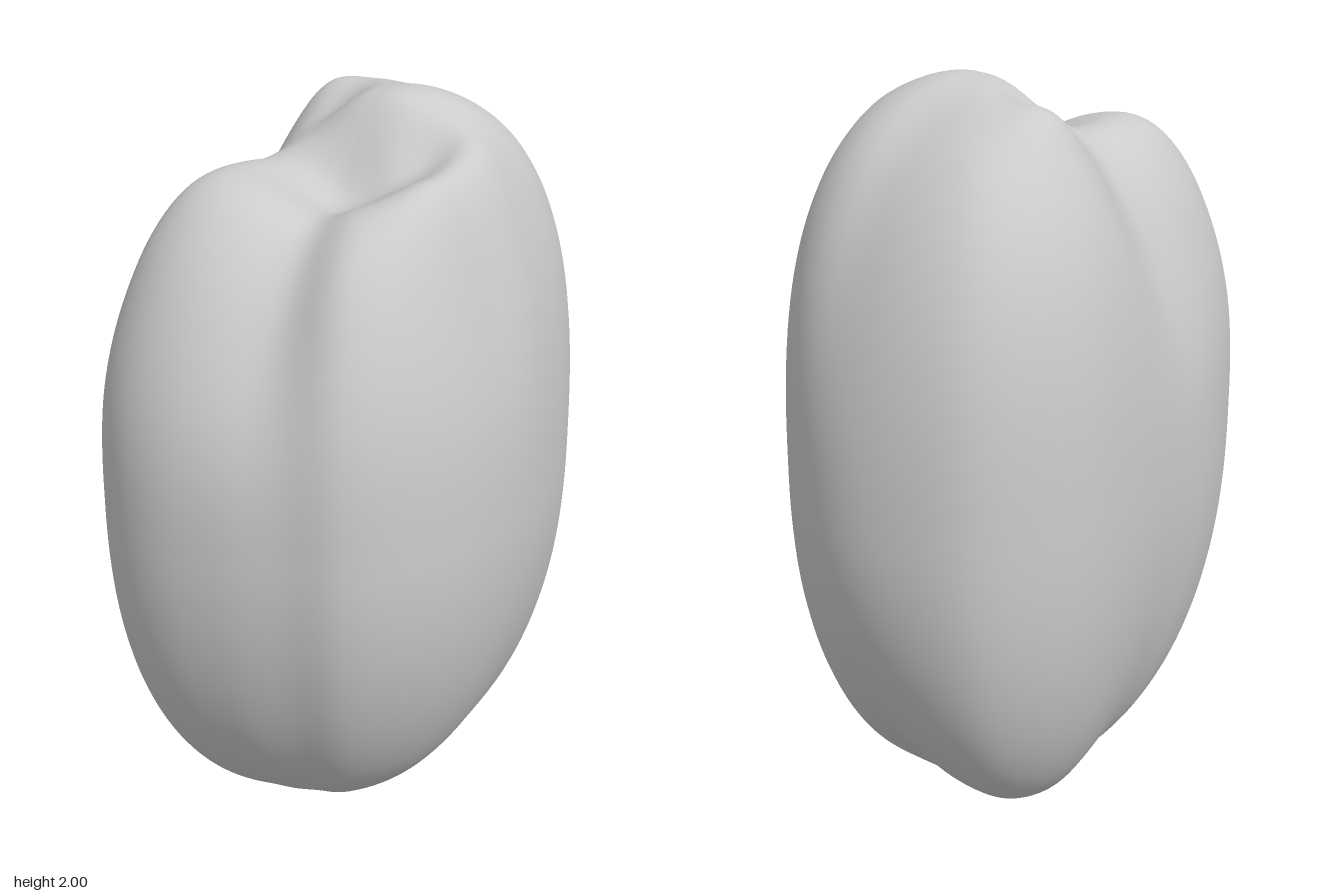
import * as THREE from 'three';
import { mergeVertices } from 'three/addons/utils/BufferGeometryUtils.js';

const smooth = THREE.MathUtils.smoothstep;
const bell = (d) => Math.exp(-d * d);

// Widest outline (x, z), from the right side round the front to the back
const OUTLINE = [
  [-0.52, 0], [-0.525, 0.2], [-0.48, 0.43], [-0.4, 0.58], [-0.27, 0.68], [-0.13, 0.715],
  [0.05, 0.69], [0.2, 0.635], [0.33, 0.585], [0.43, 0.47], [0.5, 0.3], [0.52, 0.1],
  [0.49, -0.15], [0.4, -0.42], [0.25, -0.6], [0.08, -0.7], [-0.1, -0.72], [-0.28, -0.68],
  [-0.4, -0.57], [-0.48, -0.42], [-0.51, -0.25],
];

// Dents (negative) and bumps on the crown: x, z, spread x, spread z, height
const CROWN = [
  [0.07, 0.15, 0.14, 0.13, -0.1],
  [0.09, 0.4, 0.11, 0.25, -0.04],
  [-0.09, 0.16, 0.13, 0.16, -0.05],
  [-0.3, 0.35, 0.15, 0.15, 0.025],
  [0.2, 0, 0.09, 0.09, -0.05],
  [-0.33, -0.05, 0.2, 0.12, -0.08],
  [-0.15, -0.1, 0.08, 0.1, -0.04],
  [-0.26, -0.25, 0.08, 0.13, 0.03],
  [0.05, -0.15, 0.12, 0.14, 0.01],
  [0.33, 0.1, 0.1, 0.22, 0.09],
];

// Lengthwise grooves: outline x, z, spread, depth above, depth below
const GROOVES = [
  [0.14, 0.66, 0.13, 0.06, 0],
  [-0.52, 0, 0.16, 0.05, 0],
  [0.1, -0.7, 0.14, 0.04, 0.03],
];

function bodyGeometry() {
  const outline = new THREE.CatmullRomCurve3(
    OUTLINE.map(([x, z]) => new THREE.Vector3(x, 0, z)), true);
  const geo = new THREE.SphereGeometry(1, 128, 96);
  const pos = geo.attributes.position, uv = geo.attributes.uv;
  const p = new THREE.Vector3();

  for (let i = 0; i < pos.count; i++) {
    const cosV = pos.getY(i);
    const rho = Math.sqrt(Math.max(0, 1 - cosV * cosV));
    const top = cosV > 0;
    outline.getPoint(((uv.getX(i) % 1) + 1) % 1, p);

    // The flanks narrow into the grooves away from the waist and the tips
    const fade = smooth(Math.abs(cosV), 0, 0.7) * smooth(rho, 0.1, 0.5);
    let scale = rho;
    for (const [gx, gz, s, up, down] of GROOVES) {
      scale *= 1 - (top ? up : down) * fade * bell(Math.hypot(p.x - gx, p.z - gz) / s);
    }
    let x = p.x * scale;
    const z = p.z * scale;

    // Lobes: the section is squarer towards the corners, except low at the front left
    const ex = p.x / 0.52, ez = p.z / 0.72;
    const corner = Math.abs(2 * ex * ez) / (ex * ex + ez * ez);
    const lowFullness = p.x > 0 && p.z > 0 ? -0.05 : 0.26;
    const power = (top ? 2.4 : 2) + (top ? 0.35 : lowFullness) * corner * corner;
    const h = Math.pow(Math.max(0, 1 - Math.pow(rho, power)), 1 / power);
    let y;

    if (top) {
      // Full shoulders, lower in front, with a dented crown
      let lift = -0.1 * smooth(z, -0.08, 0.12);
      for (const [cx, cz, sx, sz, amount] of CROWN) {
        lift += amount * bell(Math.hypot((x - cx) / sx, (z - cz) / sz));
      }
      y = 1 + h + lift * smooth(h, 0, 0.7);
    } else {
      // Rounded base with its tip off centre and a small notch at the back
      x -= 0.08 * (1 - rho);
      y = 1 - h + 0.04 * bell(Math.hypot((x - 0.05) / 0.08, (z + 0.4) / 0.12));
    }
    pos.setXYZ(i, x, y, z);
  }

  // Join the seam so the shading runs smoothly all round
  geo.deleteAttribute('uv');
  geo.deleteAttribute('normal');
  const merged = mergeVertices(geo, 1e-5);
  merged.computeVertexNormals();
  return merged;
}

export function createModel() {
  const group = new THREE.Group();
  group.name = 'lobedFruit';
  const body = new THREE.Mesh(
    bodyGeometry(), new THREE.MeshStandardMaterial({ color: 0xcccccc }));
  body.name = 'fruitBody';
  group.add(body);
  return group;
}
